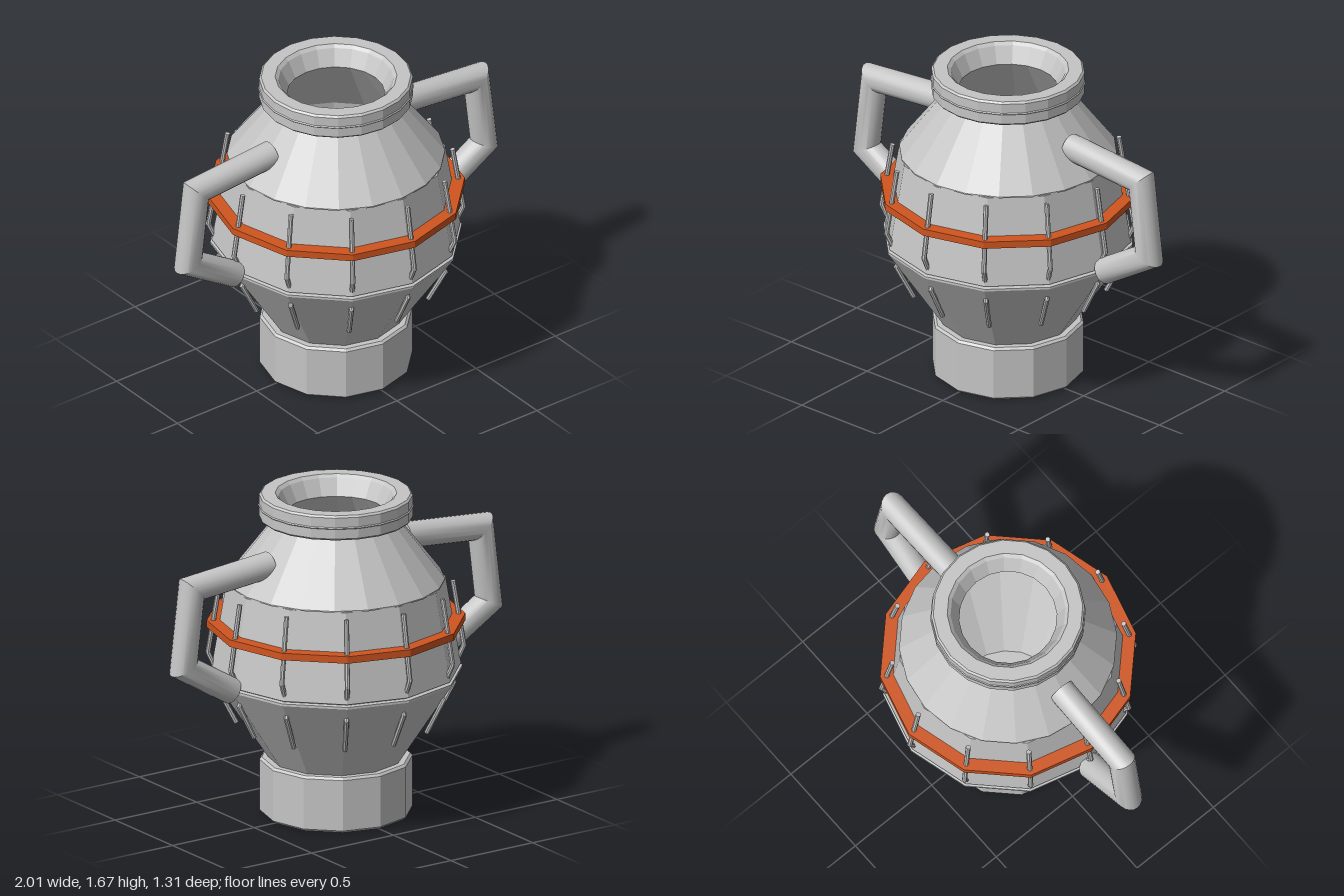
import * as THREE from 'three';
import { toCreasedNormals } from 'three/addons/utils/BufferGeometryUtils.js';

const grey = new THREE.MeshStandardMaterial({ color: 0xc5c5c5 });
grey.name = 'paleGrey';
const orange = new THREE.MeshStandardMaterial({ color: 0xd0551f });
orange.name = 'orange';

function mesh(name, geometry, material) {
  const m = new THREE.Mesh(geometry, material);
  m.name = name;
  return m;
}

// Faceted turned part from [radius, y] pairs
function turned(name, profile, sides, material = grey) {
  const points = profile.map(([r, y]) => new THREE.Vector2(r, y));
  const g = new THREE.LatheGeometry(points, sides).toNonIndexed();
  g.computeVertexNormals();
  return mesh(name, g, material);
}

// Round bar along a path of [x, y] points, with mitred corners and capped ends
function bar(path, radius, sides) {
  const p = path.map(([x, y]) => new THREE.Vector2(x, y));
  const last = p.length - 1;
  const dir = (i) => p[i + 1].clone().sub(p[i]).normalize();
  const pos = [];
  const index = [];
  p.forEach((c, i) => {
    const a = dir(Math.max(i - 1, 0));
    const t = a.clone().add(dir(Math.min(i, last - 1))).normalize();
    const miter = radius / t.dot(a);
    for (let j = 0; j < sides; j++) {
      const angle = (j / sides) * Math.PI * 2;
      const k = miter * Math.cos(angle);
      pos.push(c.x - t.y * k, c.y + t.x * k, radius * Math.sin(angle));
    }
  });
  const start = pos.length / 3;
  pos.push(p[0].x, p[0].y, 0, p[last].x, p[last].y, 0);
  for (let j = 0; j < sides; j++) {
    const n = (j + 1) % sides;
    for (let i = 0; i < last; i++) {
      const a = i * sides;
      const b = a + sides;
      index.push(a + j, a + n, b + n, a + j, b + n, b + j);
    }
    index.push(start, n, j, start + 1, last * sides + j, last * sides + n);
  }
  const g = new THREE.BufferGeometry();
  g.setAttribute('position', new THREE.Float32BufferAttribute(pos, 3));
  g.setIndex(index);
  return toCreasedNormals(g, 0.5);
}

export function createModel() {
  const model = new THREE.Group();
  model.name = 'vase';

  // Foot and the two wide belly sections, twelve-sided
  model.add(turned('foot', [
    [0, 0], [0.372, 0], [0.385, 0.013], [0.385, 0.278], [0.373, 0.29], [0.29, 0.29],
  ], 12));
  model.add(turned('lowerBody', [
    [0.335, 0.28], [0.635, 0.733], [0.635, 0.745], [0.61, 0.75],
  ], 12));
  model.add(turned('middleBody', [
    [0.61, 0.748], [0.628, 0.757], [0.55, 1.215], [0.51, 1.22],
  ], 12));

  // Shoulder, with a finer facet
  model.add(turned('shoulder', [
    [0.5, 1.212], [0.546, 1.215], [0.546, 1.222], [0.3, 1.545],
  ], 20));

  // Rim with a fine ridge, a sloping mouth and the hollow inside
  model.add(turned('rim', [
    [0.28, 1.54], [0.375, 1.54], [0.385, 1.55], [0.385, 1.6], [0.39, 1.605],
    [0.385, 1.61], [0.385, 1.66], [0.375, 1.67], [0.305, 1.67], [0.288, 1.655], [0.245, 1.57],
  ], 20));
  model.add(turned('hollow', [
    [0.245, 1.57], [0.5, 1.2], [0.57, 0.76], [0.28, 0.31], [0, 0.31],
  ], 20));

  // Coloured band around the belly
  model.add(turned('band', [
    [0.57, 0.98], [0.65, 0.98], [0.65, 1.017], [0.57, 1.017], [0.57, 0.98],
  ], 12, orange));

  // Bent ribs on every corner of the body
  const upperRib = bar([[0.588, 1.19], [0.643, 0.85], [0.612, 0.78]], 0.013, 8);
  const lowerRib = bar([[0.565, 0.7], [0.592, 0.655], [0.5, 0.475]], 0.013, 8);
  for (let i = 0; i < 12; i++) {
    const ribs = new THREE.Group();
    ribs.name = 'ribs';
    ribs.add(mesh('upperRib', upperRib, grey), mesh('lowerRib', lowerRib, grey));
    ribs.rotation.y = (i / 12) * Math.PI * 2;
    model.add(ribs);
  }

  // Angular handles
  const handle = bar([[0.412, 1.368], [0.883, 1.327], [0.932, 0.925], [0.64, 0.747]], 0.068, 20);
  const left = mesh('leftHandle', handle, grey);
  const right = mesh('rightHandle', handle, grey);
  right.rotation.y = Math.PI;
  model.add(left, right);

  return model;
}
